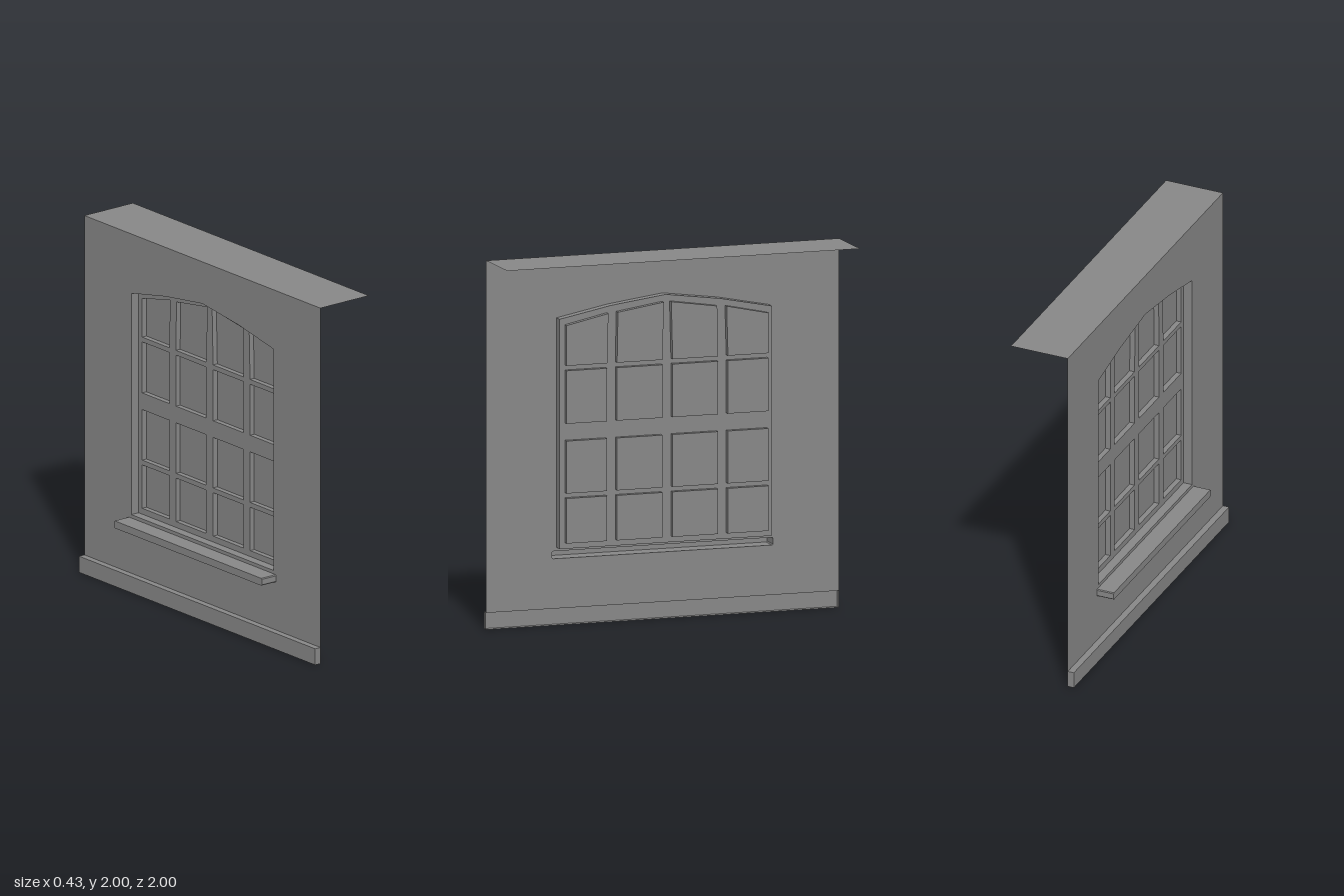
import * as THREE from 'three';

// Depth planes along x (the outside of the wall faces -x)
const WALL = -0.117, FRAME = -0.067, GLASS = -0.038, SILL = -0.216, SKIRT = -0.153, CEILING = 0.216;

const material = new THREE.MeshStandardMaterial({ color: 0x888888, side: THREE.DoubleSide });

const points = (list) => list.map(([z, y]) => new THREE.Vector2(z, y));
const rect = (z0, z1, y0, y1) => points([[z0, y0], [z1, y0], [z1, y1], [z0, y1]]);
const mirrored = (loop) => loop.map((p) => new THREE.Vector2(-p.x, p.y)).reverse();

// Flat sheet in the z-y plane at depth x, with optional holes, facing -x
function sheet(name, x, outline, holes = []) {
  const shape = new THREE.Shape(outline);
  shape.holes = holes.map((h) => new THREE.Path(h));
  const geometry = new THREE.ShapeGeometry(shape);
  geometry.rotateY(-Math.PI / 2).translate(x, 0, 0);
  const mesh = new THREE.Mesh(geometry, material);
  mesh.name = name;
  return mesh;
}

// Band of side faces following an outline between two depths
function band(name, x0, x1, outline) {
  const pos = [];
  outline.forEach((a, i) => {
    const b = outline[(i + 1) % outline.length];
    const A = [x0, a.y, a.x], B = [x0, b.y, b.x], C = [x1, b.y, b.x], D = [x1, a.y, a.x];
    pos.push(...A, ...C, ...B, ...A, ...D, ...C);
  });
  const geometry = new THREE.BufferGeometry();
  geometry.setAttribute('position', new THREE.Float32BufferAttribute(pos, 3));
  geometry.computeVertexNormals();
  const mesh = new THREE.Mesh(geometry, material);
  mesh.name = name;
  return mesh;
}

// Box-like recess or projection: side band plus end face, open at the wall
function pocket(name, xOpen, xEnd, outline) {
  const group = new THREE.Group();
  group.name = name;
  group.add(band(name + 'Sides', xOpen, xEnd, outline), sheet(name + 'Face', xEnd, outline));
  return group;
}

export function createModel() {
  const model = new THREE.Group();
  model.name = 'windowWall';

  // Arched window opening, sill with clipped corners, and skirting outlines
  const opening = points([[-0.602, 0.421], [0.602, 0.421], [0.602, 1.666], [0.31, 1.724],
    [0, 1.765], [-0.31, 1.724], [-0.602, 1.666]]);
  const sill = points([[-0.621, 0.361], [0.621, 0.361], [0.626, 0.366], [0.626, 0.397],
    [0.621, 0.402], [-0.621, 0.402], [-0.626, 0.397], [-0.626, 0.366]]);
  const skirting = rect(-1, 1, 0, 0.091);

  // Wall sheet and the ceiling strip behind its top edge
  model.add(sheet('wall', WALL, rect(-1, 1, 0.091, 2), [opening, sill]));
  const ceiling = new THREE.Mesh(new THREE.PlaneGeometry(CEILING - WALL, 2), material);
  ceiling.name = 'ceilingStrip';
  ceiling.rotation.x = -Math.PI / 2;
  ceiling.position.set((CEILING + WALL) / 2, 2, 0);
  model.add(ceiling);

  // Projecting hollow sill and skirting
  model.add(pocket('sill', WALL, SILL, sill), pocket('skirting', WALL, SKIRT, skirting));

  // Pane outlines for one half: three straight rows and a row under the arch
  const half = [];
  for (const [z0, z1] of [[0.029, 0.286], [0.342, 0.572]]) {
    for (const [y0, y1] of [[0.454, 0.698], [0.725, 1.009], [1.103, 1.39]]) {
      half.push(rect(z0, z1, y0, y1));
    }
  }
  half.push(points([[0.029, 1.417], [0.286, 1.417], [0.281, 1.69], [0.021, 1.729]]));
  half.push(points([[0.342, 1.417], [0.572, 1.417], [0.572, 1.635], [0.335, 1.686]]));
  const panes = [...half, ...half.map(mirrored)];

  // Window: reveal, frame with glazing bars, recessed panes
  const window = new THREE.Group();
  window.name = 'window';
  window.add(band('reveal', WALL, FRAME, opening), sheet('frame', FRAME, opening, panes));
  panes.forEach((p) => window.add(pocket('pane', FRAME, GLASS, p)));
  model.add(window);

  return model;
}
